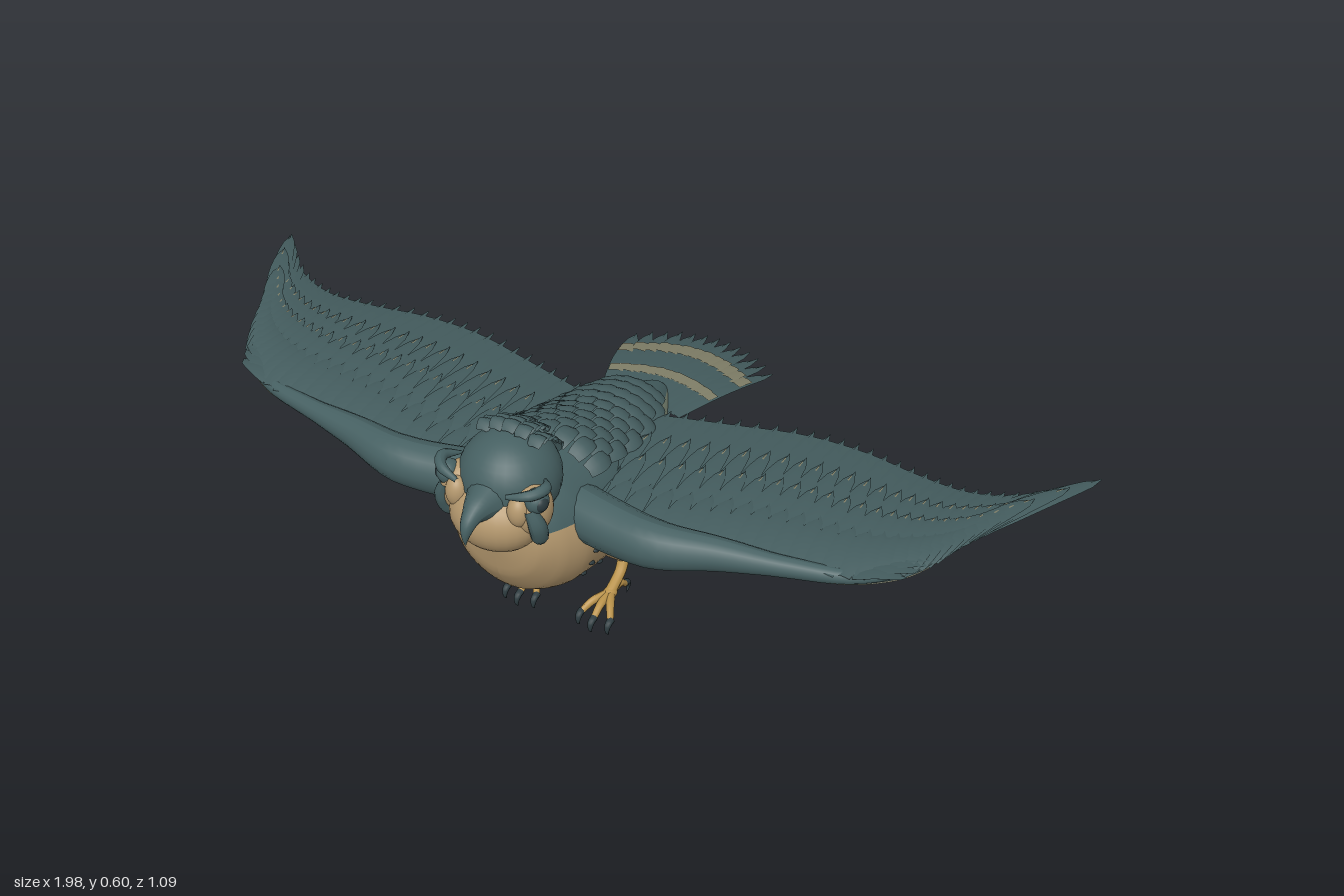
import * as THREE from 'three';
import { mergeGeometries, mergeVertices } from 'three/addons/utils/BufferGeometryUtils.js';

const V = (x, y, z) => new THREE.Vector3(x, y, z);
const mat = (name, color, side = THREE.FrontSide) => {
  const m = new THREE.MeshStandardMaterial({ color, side });
  m.name = name;
  return m;
};

// Surface from a rule f(u, v), both running 0..1
function grid(nu, nv, f) {
  const pos = [], idx = [];
  for (let i = 0; i <= nu; i++)
    for (let j = 0; j <= nv; j++) pos.push(...f(i / nu, j / nv).toArray());
  for (let i = 0; i < nu; i++)
    for (let j = 0; j < nv; j++) {
      const a = i * (nv + 1) + j, b = a + nv + 1;
      idx.push(a, b, a + 1, b, b + 1, a + 1);
    }
  const g = new THREE.BufferGeometry();
  g.setAttribute('position', new THREE.Float32BufferAttribute(pos, 3));
  g.setIndex(idx);
  g.computeVertexNormals();
  return g;
}

// Tube through points whose radius follows a list
function taper(points, radii, seg = 14, sides = 12) {
  const path = new THREE.CatmullRomCurve3(points);
  const g = new THREE.TubeGeometry(path, seg, 1, sides);
  const p = g.attributes.position, v = V(0, 0, 0);
  for (let i = 0; i < p.count; i++) {
    const t = Math.floor(i / (sides + 1)) / seg;
    const c = path.getPointAt(t), f = t * (radii.length - 1);
    const k = Math.min(Math.floor(f), radii.length - 2);
    const r = THREE.MathUtils.lerp(radii[k], radii[k + 1], f - k);
    v.fromBufferAttribute(p, i).sub(c).multiplyScalar(r).add(c);
    p.setXYZ(i, v.x, v.y, v.z);
  }
  g.computeVertexNormals();
  return g;
}

// Pointed, ridged feather from root to tip; t0..t1 cuts out a band of it
function feather(root, tip, w, { up = V(0, 1, 0), arch = 0, t0 = 0, t1 = 1, lift = 0 } = {}) {
  const dir = tip.clone().sub(root).normalize();
  const side = dir.clone().cross(up).normalize();
  return grid(8, 2, (u, v) => {
    const t = t0 + (t1 - t0) * u, s = 1 - 2 * v;
    const hw = w * Math.pow(Math.max(0, Math.sin(Math.PI * (0.2 + 0.8 * t))), 0.5);
    return root.clone().lerp(tip, t).addScaledVector(side, -s * hw)
      .addScaledVector(up, lift + arch * Math.sin(Math.PI * t) + (1 - Math.abs(s)) * w * 0.15);
  });
}

export function createModel() {
  const D = THREE.DoubleSide;
  const slate = mat('slate plumage', 0x466062);
  const plume = mat('slate feathers', 0x435b5d, D);
  const tan = mat('buff underparts', 0xb4986e);
  const flank = mat('grey flank', 0x76816f);
  const under = mat('underwing', 0x737464, D);
  const band = mat('feather bars', 0x807f68, D);
  const ochre = mat('ochre legs', 0xb9924a);
  const dark = mat('dark horn', 0x2d3b3f);

  const model = new THREE.Group();
  const add = (name, geo, m, parent = model) => {
    const mesh = new THREE.Mesh(geo, m);
    mesh.name = name;
    parent.add(mesh);
    return mesh;
  };
  const ball = (name, m, c, r, parent = model) => {
    const mesh = add(name, new THREE.SphereGeometry(1, 28, 20), m, parent);
    mesh.position.set(...c);
    mesh.scale.set(...r);
    return mesh;
  };

  // Body: rings of z, centre height, half width, half height
  const rings = [
    [0.445, 0.37, 0.005, 0.005], [0.425, 0.36, 0.09, 0.085], [0.38, 0.345, 0.13, 0.135],
    [0.32, 0.335, 0.154, 0.157], [0.2, 0.32, 0.162, 0.165], [0.1, 0.305, 0.154, 0.14],
    [0, 0.3, 0.136, 0.12], [-0.1, 0.305, 0.099, 0.095], [-0.2, 0.31, 0.055, 0.055],
    [-0.252, 0.315, 0.023, 0.023], [-0.256, 0.315, 0.001, 0.001]];
  const mid = new THREE.CatmullRomCurve3(rings.map(r => V(0, r[1], r[0])));
  const size = new THREE.CatmullRomCurve3(rings.map(r => V(r[2], r[3], 0)));
  const bodyPoint = (u, a) => {
    const c = mid.getPoint(u), s = size.getPoint(u);
    return V(s.x * Math.cos(a), c.y + s.y * Math.sin(a), c.z);
  };
  const uAt = z => {
    let u = 0.1;
    while (u < 1 && mid.getPoint(u).z > z) u += 0.002;
    return u;
  };
  const NU = 50, NA = 48;
  const body = mergeVertices(grid(NU, NA, (u, v) => bodyPoint(u, -Math.PI / 2 + v * 2 * Math.PI)), 1e-6);
  body.computeVertexNormals();
  for (let i = 0; i < NU; i++)
    for (let j = 0; j < NA; j++) {
      const deg = 90 - Math.abs((j + 0.5) * 360 / NA - 180);
      const z = mid.getPoint((i + 0.5) / NU).z;
      const paint = deg > (z > 0.12 ? 22 : 35) ? 2 : deg > 15 && z < 0.12 ? 1 : 0;
      body.addGroup((i * NA + j) * 6, 6, paint);
    }
  add('body', body, [tan, flank, slate]);

  // Overlapping back feathers
  const back = [];
  for (let r = 0; r < 10; r++) {
    const z = 0.258 - r * 0.038, n = r % 2 ? 6 : 7;
    for (let k = 0; k < n; k++) {
      const a = Math.PI / 2 + (k - (n - 1) / 2) * 0.24;
      const up = V(Math.cos(a), Math.sin(a), 0);
      const p = bodyPoint(uAt(z), a).addScaledVector(up, 0.008);
      const q = bodyPoint(uAt(z - 0.075), a).addScaledVector(up, 0.013);
      back.push(feather(p, q, 0.02, { up, arch: 0.017 }));
    }
  }
  add('backFeathers', mergeGeometries(back), plume);

  // Head, face and beak
  ball('head', slate, [0, 0.485, 0.37], [0.104, 0.098, 0.105]);
  ball('throat', tan, [0, 0.425, 0.425], [0.098, 0.075, 0.08]);
  add('beak', taper([V(0, 0.477, 0.45), V(0, 0.477, 0.5), V(0, 0.464, 0.528), V(0, 0.44, 0.54), V(0, 0.42, 0.54)],
    [0.05, 0.035, 0.021, 0.012, 0.001], 20, 16), slate);
  const crown = [];
  for (let r = 0; r < 5; r++)
    for (let k = -2; k <= 2; k++) {
      const on = (x, z) => V(x, 0.487 + 0.1 * Math.sqrt(Math.max(0, 1 - (x / 0.106) ** 2 - ((z - 0.37) / 0.107) ** 2)), z);
      const z = 0.378 - r * 0.021, x = k * 0.029;
      crown.push(feather(on(x, z), on(x, Math.max(z - 0.045, 0.282)), 0.017, { arch: 0.017 }));
    }
  add('crownFeathers', mergeGeometries(crown), plume);

  // Wing edges: leading x, y, z and trailing x, y, z
  const edges = [
    [0.11, 0.37, 0.33, 0.11, 0.382, -0.1], [0.28, 0.373, 0.33, 0.25, 0.384, -0.14],
    [0.42, 0.38, 0.3, 0.4, 0.387, -0.175], [0.55, 0.384, 0.28, 0.53, 0.389, -0.175],
    [0.67, 0.386, 0.255, 0.66, 0.391, -0.15], [0.75, 0.387, 0.2, 0.77, 0.393, -0.14],
    [0.79, 0.388, 0.14, 0.87, 0.396, -0.175], [0.81, 0.389, 0.06, 1, 0.401, -0.295]];
  const lead = new THREE.CatmullRomCurve3(edges.map(e => V(e[0], e[1], e[2])));
  const trail = new THREE.CatmullRomCurve3(edges.map(e => V(e[3], e[4], e[5])));
  // Feather rows: chord start, chord end, count, half width, lift
  const rows = [[0.25, 1, 28, 0.022, 0.003], [0.18, 0.74, 26, 0.022, 0.009], [0.1, 0.54, 26, 0.022, 0.014], [0, 0.34, 26, 0.022, 0.018]];

  for (const s of [1, -1]) {
    const sideName = s > 0 ? 'left' : 'right';
    const P = (x, y, z) => V(s * x, y, z);
    const wing = new THREE.Group();
    wing.name = sideName + 'Wing';
    model.add(wing);
    // Point on the wing, raised by a camber that fades to the edges
    const at = (u, v, camber = 0.02) => {
      const p = lead.getPoint(u).lerp(trail.getPoint(u), v);
      return P(p.x, p.y + camber * Math.sin(Math.PI * v), p.z);
    };
    add('underwing', grid(30, 8, (u, v) => at(u, v * 0.94, 0.008)), under, wing);
    add('upperwing', grid(30, 8, (u, v) => at(u, v * 0.95).add(V(0, 0.003, 0))), plume, wing);
    add('wingArm', taper([P(0.06, 0.388, 0.28), P(0.2, 0.383, 0.308), P(0.3, 0.387, 0.32), P(0.42, 0.393, 0.295),
      P(0.56, 0.395, 0.268), P(0.68, 0.395, 0.235), P(0.75, 0.395, 0.18), P(0.8, 0.392, 0.08)],
      [0.055, 0.055, 0.05, 0.036, 0.023, 0.017, 0.011, 0.002], 32, 16), slate, wing);
    const plumes = [], flecks = [];
    rows.forEach(([a, b, n, w, lift], r) => {
      for (let i = 0; i < n; i++) {
        const u = (i + 0.3 * (r % 2)) / (n - 0.7);
        const opt = { lift, arch: 0.009 };
        plumes.push(feather(at(u, a), at(u, b), w, opt));
        if (r === 1 || r === 2)
          flecks.push(feather(at(u, a), at(u, b), 0.003, { ...opt, lift: lift + 0.004, t0: 0.84, t1: 0.92 }));
      }
    });
    // Coverts fanning past the wrist
    for (let i = 0; i < 6; i++)
      plumes.push(feather(P(0.68 + 0.01 * i, 0.4, 0.24 - 0.018 * i), P(0.775 + 0.014 * i, 0.4, 0.2 - 0.03 * i),
        0.02, { lift: 0.004 + 0.002 * i, arch: 0.009 }));
    add('wingFeathers', mergeGeometries(plumes), plume, wing);
    add('wingFlecks', mergeGeometries(flecks), band, wing);

    // Cheek, lore, moustache stripe, eye and brow
    ball(sideName + 'Cheek', tan, [s * 0.079, 0.462, 0.421], [0.041, 0.057, 0.047]);
    ball(sideName + 'Lore', tan, [s * 0.07, 0.472, 0.455], [0.024, 0.034, 0.024]);
    add(sideName + 'MoustacheStripe', taper([P(0.094, 0.485, 0.456), P(0.106, 0.452, 0.45), P(0.105, 0.415, 0.437),
      P(0.088, 0.38, 0.416)], [0.012, 0.019, 0.018, 0.002]), slate);
    ball(sideName + 'EyeRing', slate, [s * 0.1, 0.497, 0.437], [0.024, 0.026, 0.026]);
    ball(sideName + 'Eye', dark, [s * 0.11, 0.497, 0.441], [0.016, 0.018, 0.018]);
    add(sideName + 'Brow', taper([P(0.055, 0.515, 0.478), P(0.1, 0.524, 0.462), P(0.116, 0.527, 0.432), P(0.095, 0.518, 0.395)],
      [0.005, 0.011, 0.012, 0.003]), slate);

    // Flank spots
    const spots = new THREE.Group();
    spots.name = sideName + 'FlankSpots';
    model.add(spots);
    [0.303, 0.247, 0.19, 0.132, 0.075].forEach((z, i) => [0.305, 0.27, 0.236].forEach(y0 => {
      const u = uAt(z), c = mid.getPoint(u), h = size.getPoint(u);
      const p = bodyPoint(u, Math.asin((y0 - i * 0.004 - c.y) / h.y));
      ball('spot', dark, [s * p.x, p.y, p.z], [0.006, 0.005, 0.01], spots).rotation.x = -0.4;
    }));

    // Leg, toes and claws
    const leg = new THREE.Group();
    leg.name = sideName + 'Leg';
    model.add(leg);
    add('thigh', taper([P(0.08, 0.215, 0.135), P(0.083, 0.17, 0.11), P(0.088, 0.108, 0.068)], [0.038, 0.029, 0.013]), tan, leg);
    ball('hock', ochre, [s * 0.088, 0.102, 0.066], [0.013, 0.013, 0.013], leg);
    add('shank', taper([P(0.088, 0.105, 0.063), P(0.09, 0.078, 0.083), P(0.09, 0.052, 0.128)], [0.013, 0.012, 0.012]), ochre, leg);
    ball('foot', ochre, [s * 0.09, 0.051, 0.128], [0.015, 0.012, 0.018], leg);
    for (const [dx, z, k] of [[-0.035, 0.19, 1], [0, 0.2, 1], [0.035, 0.19, 1], [0, 0.062, -1]]) {
      const x = 0.09 + dx;
      add('toe', taper([P(0.09, 0.051, 0.125), P(0.09 + dx * 0.6, 0.047, (z + 0.125) / 2 + 0.008 * k), P(x, 0.03, z)],
        [0.01, 0.009, 0.007]), ochre, leg);
      add('claw', taper([P(x, 0.032, z - 0.004 * k), P(x, 0.027, z + 0.01 * k), P(x, 0.012, z + 0.014 * k), P(x, 0, z + 0.007 * k)],
        [0.008, 0.0075, 0.0045, 0.0005]), dark, leg);
    }
  }

  // Tail fan with pale bars
  const tail = [], bars = [];
  for (let i = -6; i <= 6; i++) {
    const f = i / 6, root = V(f * 0.08, 0.334 - 0.001 * Math.abs(i), -0.165);
    const tip = V(f * 0.172, 0.28 + 0.006 * f * f, -0.545 + 0.08 * f * f);
    const opt = { arch: 0.015, lift: 0.001 * (i & 1) };
    tail.push(feather(root, tip, 0.022, opt));
    for (const [t0, t1] of [[0.29, 0.38], [0.6, 0.74]])
      bars.push(feather(root, tip, 0.019, { ...opt, lift: opt.lift + 0.003, t0, t1 }));
  }
  add('tailFeathers', mergeGeometries(tail), plume);
  add('tailBars', mergeGeometries(bars), band);
  return model;
}
